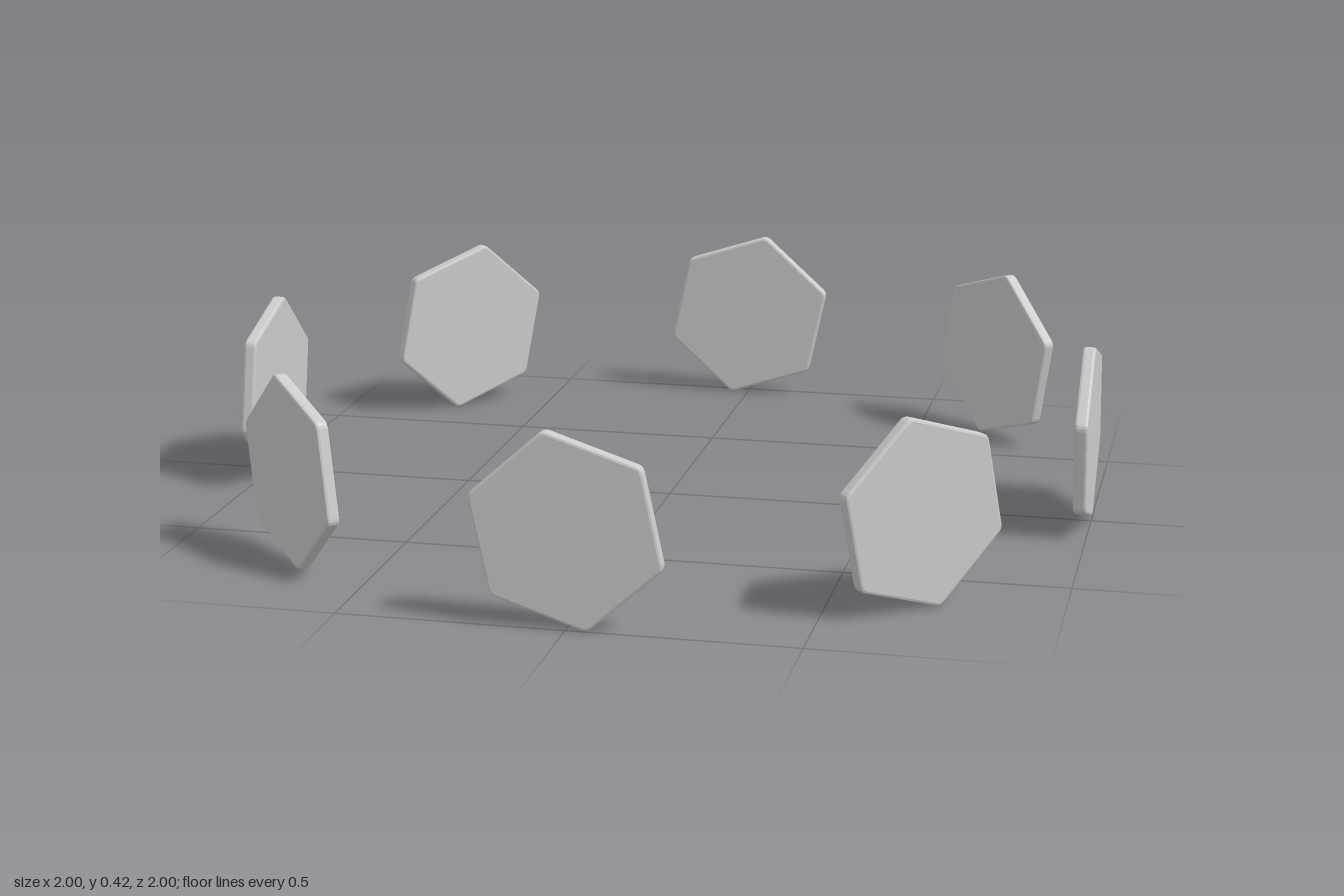
import * as THREE from 'three';

const COUNT = 8, RING = 0.985, RADIUS = 0.219, TILT = THREE.MathUtils.degToRad(12);
const THICK = 0.03, BEVEL = 0.006, ROUND = 0.012, CENTER_Y = 0.2125;

// Hexagon outline with slightly rounded corners
function hexShape() {
  const corners = [];
  for (let i = 0; i < 6; i++) {
    const a = Math.PI / 2 + TILT + (i * Math.PI) / 3;
    corners.push(new THREE.Vector2(Math.cos(a) * RADIUS, Math.sin(a) * RADIUS));
  }
  const shape = new THREE.Shape();
  corners.forEach((c, i) => {
    const p = c.clone().lerp(corners[(i + 5) % 6], ROUND / RADIUS);
    const q = c.clone().lerp(corners[(i + 1) % 6], ROUND / RADIUS);
    if (i === 0) shape.moveTo(p.x, p.y);
    else shape.lineTo(p.x, p.y);
    shape.quadraticCurveTo(c.x, c.y, q.x, q.y);
  });
  shape.closePath();
  return shape;
}

export function createModel() {
  const group = new THREE.Group();
  group.name = 'plateRing';
  const material = new THREE.MeshStandardMaterial({ color: 0xcccccc });

  // Thin plate with softened rims, centred on its own thickness
  const geometry = new THREE.ExtrudeGeometry(hexShape(), {
    depth: THICK - 2 * BEVEL,
    bevelEnabled: true,
    bevelThickness: BEVEL,
    bevelSize: BEVEL,
    bevelOffset: -BEVEL,
    bevelSegments: 2,
    curveSegments: 3,
  });
  geometry.translate(0, 0, BEVEL - THICK / 2);

  // Eight plates facing outward around a circle
  for (let i = 0; i < COUNT; i++) {
    const a = (i * 2 * Math.PI) / COUNT;
    const plate = new THREE.Mesh(geometry, material);
    plate.name = `hexPlate${i + 1}`;
    plate.position.set(Math.sin(a) * RING, CENTER_Y, Math.cos(a) * RING);
    plate.rotation.y = a;
    group.add(plate);
  }
  return group;
}
